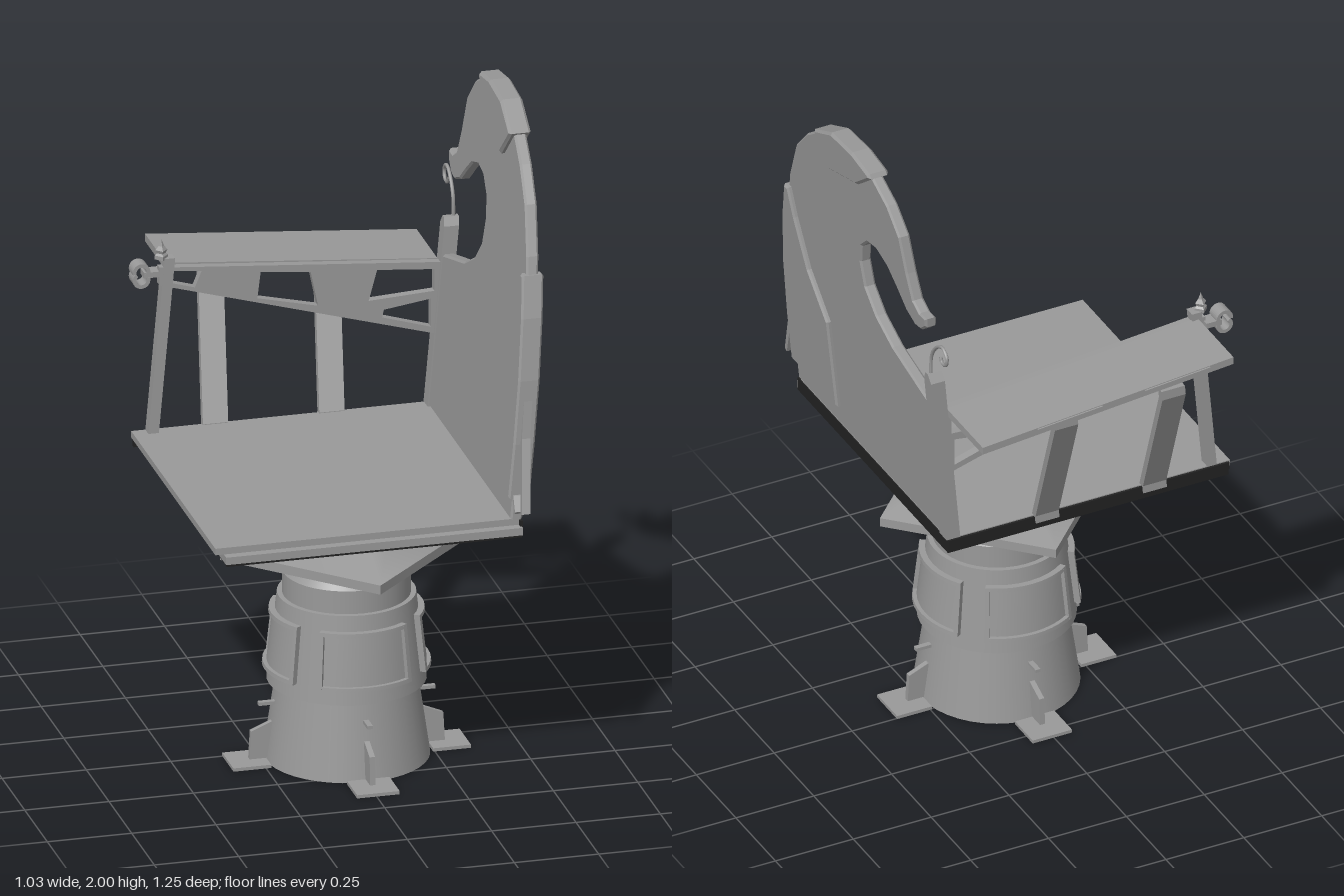
import * as THREE from 'three';

const grey = new THREE.MeshStandardMaterial({ color: 0x999999, side: THREE.DoubleSide });
const flat = new THREE.MeshStandardMaterial({ color: 0x999999, flatShading: true, side: THREE.DoubleSide });
const dark = new THREE.MeshStandardMaterial({ color: 0x222222 });
const LEAN = 0.09, FLOOR = 0.865; // sideways lean of everything standing on the floor

const toShape = (pts) => new THREE.Shape(pts.map(([a, b]) => new THREE.Vector2(a, b)));

function add(parent, name, geometry, material = flat, pos = [0, 0, 0]) {
  const mesh = new THREE.Mesh(geometry, material);
  mesh.name = name;
  mesh.position.set(...pos);
  parent.add(mesh);
  return mesh;
}

// Box given by its limits on each axis
function box(parent, name, [x0, x1], [y0, y1], [z0, z1], material = flat) {
  return add(parent, name, new THREE.BoxGeometry(x1 - x0, y1 - y0, z1 - z0), material,
    [(x0 + x1) / 2, (y0 + y1) / 2, (z0 + z1) / 2]);
}

// Shift x with height
function lean(g) {
  const p = g.attributes.position;
  for (let i = 0; i < p.count; i++) p.setX(i, p.getX(i) + LEAN * (p.getY(i) - FLOOR));
  g.computeVertexNormals();
  return g;
}

// Leaning panel: outline in (z, y), thickness along x, optional chamfered edge
function sidePanel(parent, name, pts, x0, depth, chamfer = 0) {
  const g = new THREE.ExtrudeGeometry(toShape(pts.map(([z, y]) => [-z, y])), {
    depth: depth - 2 * chamfer, bevelEnabled: chamfer > 0, bevelSegments: 1,
    bevelSize: chamfer, bevelThickness: chamfer, bevelOffset: -chamfer,
  });
  return add(parent, name, lean(g.rotateY(Math.PI / 2).translate(x0 + chamfer, 0, 0)));
}

// Upright panel: outline in (x, y), thickness along z
function frontPanel(parent, name, pts, z0, depth, holes = []) {
  const s = toShape(pts);
  holes.forEach((h) => s.holes.push(toShape(h)));
  return add(parent, name, new THREE.ExtrudeGeometry(s, { depth, bevelEnabled: false }), flat, [0, 0, z0]);
}

// Strip wrapped around the tapering drum, standing out by the given height
function drumStrip(parent, name, [x0, x1], [y0, y1], height) {
  const g = new THREE.BoxGeometry(x1 - x0, y1 - y0, height + 0.006, 10, 1, 1)
    .translate((x0 + x1) / 2, (y0 + y1) / 2, height / 2 - 0.003);
  const p = g.attributes.position;
  for (let i = 0; i < p.count; i++) {
    const r = 0.23 - 0.113 * (p.getY(i) - 0.235) + p.getZ(i);
    const angle = p.getX(i) / 0.2;
    p.setXYZ(i, r * Math.sin(angle), p.getY(i), r * Math.cos(angle));
  }
  g.computeVertexNormals();
  return add(parent, name, g, grey);
}

function buildPedestal() {
  const g = new THREE.Group();
  g.name = 'pedestal';
  g.position.set(0.005, 0, 0.06);
  const ring = (name, y0, y1, r0, r1, sides = 40, material = grey, open = false) =>
    add(g, name, new THREE.CylinderGeometry(r1, r0, y1 - y0, sides, 1, open), material, [0, (y0 + y1) / 2, 0]);
  ring('base', 0, 0.24, 0.24, 0.205, 40, grey, true);
  ring('drum', 0.235, 0.5, 0.23, 0.2);
  ring('drumCollar', 0.5, 0.57, 0.185, 0.185);
  ring('collarBevel', 0.57, 0.6, 0.185, 0.165);
  ring('neck', 0.6, 0.64, 0.13, 0.165);
  // Four-sided roof with its corners on the axes
  ring('roofEdge', 0.632, 0.66, 0.375, 0.375, 4, flat);
  ring('roofSlope', 0.66, 0.765, 0.375, 0.14, 4);
  ring('upperNeck', 0.755, 0.775, 0.135, 0.135, 4, flat);
  ring('flare', 0.775, 0.82, 0.135, 0.235, 4);

  // Feet, ribs, pegs and framed panels, one set per side
  for (let i = 0; i < 4; i++) {
    const side = new THREE.Group();
    side.name = 'pedestalSide';
    side.rotation.y = (i * Math.PI) / 2;
    g.add(side);
    box(side, 'footPlate', [-0.063, 0.063], [0, 0.01], [0.24, 0.352]);
    const rib = new THREE.ExtrudeGeometry(
      toShape([[-0.215, 0], [-0.29, 0], [-0.285, 0.095], [-0.225, 0.12], [-0.215, 0.12]]),
      { depth: 0.016, bevelEnabled: false });
    add(side, 'rib', rib.rotateY(Math.PI / 2).translate(-0.008, 0, 0));
    box(side, 'peg', [-0.008, 0.008], [0.172, 0.182], [0.2, 0.262]);
    drumStrip(side, 'panelBody', [-0.115, 0.115], [0.288, 0.445], 0.006);
    for (const s of [0, 1]) {
      const x = s ? 0.112 : -0.124, y = s ? 0.441 : 0.28;
      drumStrip(side, 'panelSideTrim', [x, x + 0.012], [0.28, 0.453], 0.018);
      drumStrip(side, 'panelEdgeTrim', [-0.124, 0.124], [y, y + 0.012], 0.018);
    }
  }
  return g;
}

function buildPlatform() {
  const g = new THREE.Group();
  g.name = 'platform';
  box(g, 'floor', [-0.51, 0.395], [0.845, FLOOR], [-0.4, 0.53]);
  box(g, 'lowerMoulding', [-0.485, 0.395], [0.822, 0.845], [-0.395, 0.556]);
  box(g, 'underside', [-0.482, 0.393], [0.815, 0.822], [-0.395, 0.553], dark);
  for (const [y0, y1, out] of [[0.818, 0.84, 0], [0.84, 0.862, 0.005]]) {
    box(g, 'rightDarkTrim', [0.39, 0.396 + out / 3], [y0, y1], [-0.402 - out, 0.55 - out], dark);
    box(g, 'backDarkTrim', [-0.505, 0.396], [y0, y1], [-0.402 - out, -0.39], dark);
  }
  return g;
}

function buildWall() {
  const g = new THREE.Group();
  g.name = 'curledWall';
  sidePanel(g, 'wallPanel', [
    [0.54, 0.865], [0.545, 1.08], [0.534, 1.29], [0.503, 1.49], [0.46, 1.64], [0.397, 1.775], [0.312, 1.865],
    [0.222, 1.93], [0.116, 1.98], [-0.016, 1.992], [-0.12, 1.97], [-0.206, 1.923], [-0.27, 1.85], [-0.296, 1.738],
    [-0.323, 1.66], [-0.36, 1.638], [-0.4, 1.64], [-0.397, 1.61], [-0.36, 1.58], [-0.323, 1.574], [-0.27, 1.595],
    [-0.217, 1.643], [-0.164, 1.685], [-0.1, 1.706], [-0.042, 1.696], [0.005, 1.653], [0.02, 1.59], [0.005, 1.51],
    [-0.053, 1.442], [-0.148, 1.39], [-0.265, 1.357], [-0.36, 1.33], [-0.395, 1.32], [-0.4, 0.865],
  ], 0.362, 0.036, 0.006);
  sidePanel(g, 'frontPlate', [
    [0.547, 0.934], [0.549, 1.1], [0.54, 1.29], [0.512, 1.47], [0.48, 1.59], [0.455, 1.59], [0.43, 1.5],
    [0.37, 1.352], [0.27, 1.225], [0.26, 0.934],
  ], 0.348, 0.064, 0.006);
  sidePanel(g, 'topCap', [
    [0.235, 1.93], [0.15, 1.838], [-0.03, 1.895], [-0.128, 1.972], [-0.12, 1.985], [-0.016, 2], [0.116, 1.99],
  ], 0.345, 0.066, 0.008);
  // Prongs hanging off the front edge
  sidePanel(g, 'longProng', [[0.545, 1.23], [0.55, 1.09], [0.615, 0.91], [0.627, 0.915], [0.558, 1.12]], 0.368, 0.025);
  sidePanel(g, 'shortProng', [[0.535, 0.945], [0.58, 0.9], [0.584, 0.907], [0.552, 0.945]], 0.36, 0.025);
  // Back post with a wire curl
  sidePanel(g, 'backPost', [[-0.36, 0.865], [-0.36, 1.415], [-0.372, 1.44], [-0.388, 1.44], [-0.405, 1.415],
    [-0.405, 0.865]], 0.358, 0.044);
  const path = new THREE.CatmullRomCurve3([
    [-0.38, 1.43], [-0.385, 1.5], [-0.42, 1.55], [-0.455, 1.566], [-0.482, 1.545], [-0.475, 1.52], [-0.45, 1.515],
    [-0.443, 1.53],
  ].map(([z, y]) => new THREE.Vector3(0.44, y, z)));
  add(g, 'wireCurl', new THREE.TubeGeometry(path, 40, 0.0055, 6), grey);
  return g;
}

function buildBackRail() {
  const g = new THREE.Group();
  g.name = 'backRail';
  frontPanel(g, 'shelf', [[-0.41, 1.378], [0.395, 1.308], [0.395, 1.285], [-0.41, 1.355]], -0.62, 0.23);
  frontPanel(g, 'piercedRail', [[-0.435, 1.375], [0.4, 1.305], [0.385, 1.085], [-0.435, 1.32]], -0.392, 0.026, [
    [[-0.415, 1.362], [-0.31, 1.352], [-0.33, 1.303], [-0.415, 1.328]],
    [[-0.135, 1.33], [0.013, 1.315], [0.035, 1.208], [-0.145, 1.25]],
    [[0.21, 1.3], [0.38, 1.285], [0.38, 1.218], [0.185, 1.207]],
    [[0.23, 1.175], [0.37, 1.195], [0.37, 1.108], [0.225, 1.152]],
  ]);
  // Sloping boards carrying the shelf, with a cleat on its rear edge
  for (const x of [-0.3, 0.045]) {
    sidePanel(g, 'strut', [[-0.39, 0.867], [-0.39, 0.842], [-0.412, 0.842], [-0.412, 0.867], [-0.61, 1.29],
      [-0.61, 1.32], [-0.588, 1.32], [-0.588, 1.29]], x, 0.075);
    const cleat = box(g, 'shelfCleat', [x - 0.035, x + 0.175], [0, 0.016], [-0.625, -0.6]);
    cleat.position.y = 1.34 - 0.087 * (x + 0.07) - 0.008;
    cleat.rotation.z = -0.087;
  }
  // Corner post with finial
  sidePanel(g, 'cornerPost', [[-0.365, 0.865], [-0.365, 1.4], [-0.4, 1.4], [-0.4, 0.865]], -0.468, 0.031);
  const finial = new THREE.LatheGeometry([[0, 0], [0.02, 0], [0.02, 0.012], [0.013, 0.018], [0.018, 0.028],
    [0.008, 0.04], [0, 0.062]].map(([r, y]) => new THREE.Vector2(r, y)), 4);
  add(g, 'finial', finial, flat, [-0.425, 1.395, -0.383]);
  // Pair of open scrolls beside the post
  const hook = new THREE.Shape();
  hook.absarc(0, 0, 0.026, -0.3, 4, false);
  hook.absarc(0, 0, 0.015, 4, -0.3, true);
  for (const s of [-1, 1]) {
    const m = add(g, 'scroll', new THREE.ExtrudeGeometry(hook, { depth: 0.046, bevelEnabled: false, curveSegments: 10 }),
      flat, [-0.488, 1.353 + s * 0.012, -0.412]);
    m.rotation.z = s > 0 ? -0.6 : 2.6;
  }
  box(g, 'scrollArm', [-0.48, -0.43], [1.345, 1.362], [-0.41, -0.368]);
  return g;
}

export function createModel() {
  const model = new THREE.Group();
  model.name = 'pedestalBooth';
  model.add(buildPedestal(), buildPlatform(), buildWall(), buildBackRail());
  return model;
}
